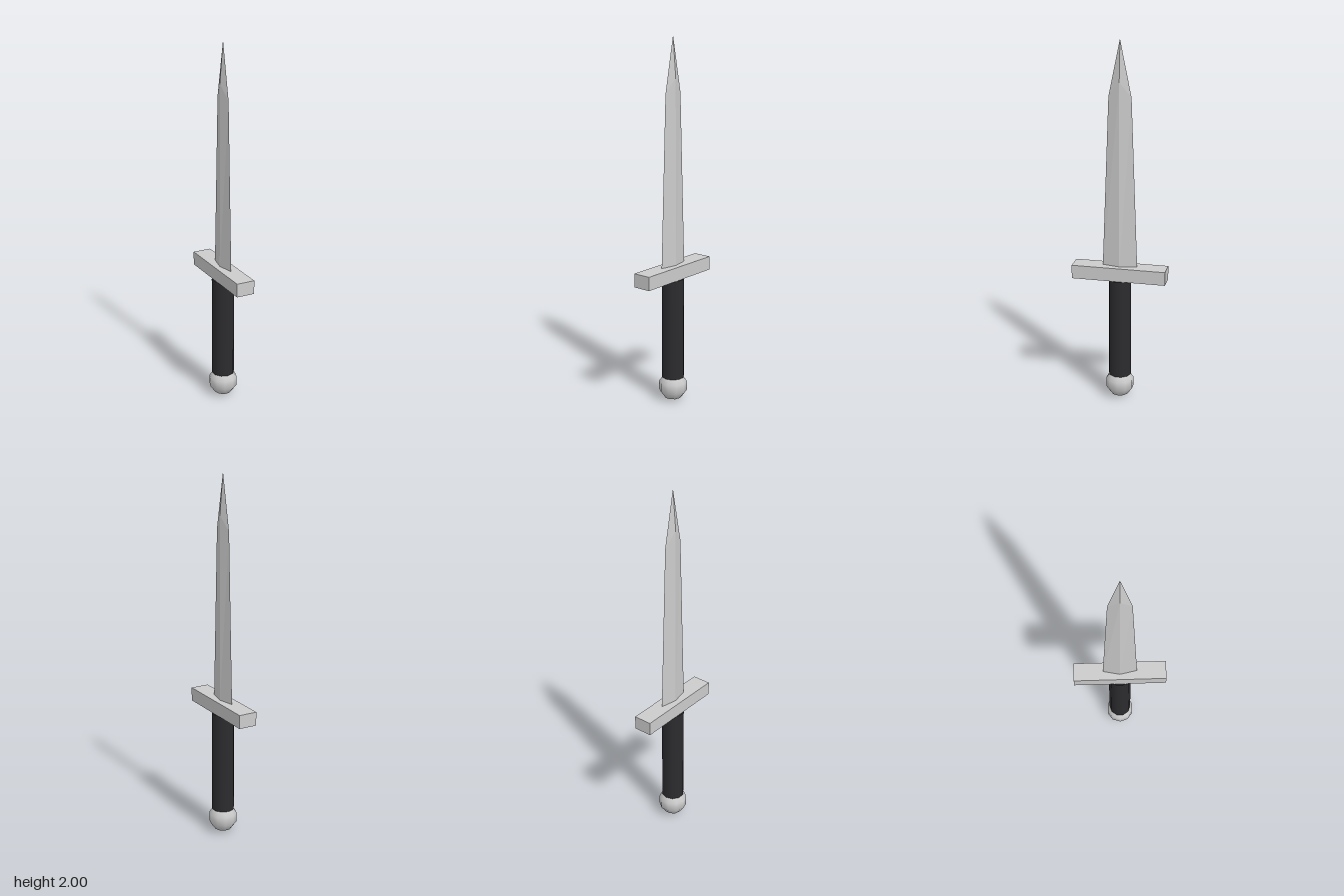
import * as THREE from 'three';

const steel = () => new THREE.MeshStandardMaterial({ color: 0xcccccc });

function add(group, name, geometry, material, y = 0) {
  const mesh = new THREE.Mesh(geometry, material);
  mesh.name = name;
  mesh.position.y = y;
  group.add(mesh);
}

// Diamond-section blade: two four-cornered rings closed by a point
function bladeGeometry() {
  const ring = (x, ridgeY, z, edgeY) => [
    [0, edgeY, z], [x, ridgeY, 0], [0, edgeY, -z], [-x, ridgeY, 0],
  ];
  const base = ring(0.02, 0.74, 0.096, 0.74);
  const shoulder = ring(0.018, 1.78, 0.061, 1.7);
  const tip = [0, 2, 0];
  const positions = [];
  for (let i = 0; i < 4; i++) {
    const j = (i + 1) % 4;
    positions.push(...base[i], ...base[j], ...shoulder[j]);
    positions.push(...base[i], ...shoulder[j], ...shoulder[i]);
    positions.push(...shoulder[i], ...shoulder[j], ...tip);
  }
  // Closing face hidden inside the guard
  positions.push(...base[0], ...base[2], ...base[1], ...base[0], ...base[3], ...base[2]);
  const geometry = new THREE.BufferGeometry();
  geometry.setAttribute('position', new THREE.Float32BufferAttribute(positions, 3));
  geometry.computeVertexNormals();
  return geometry;
}

export function createModel() {
  const dagger = new THREE.Group();
  dagger.name = 'dagger';

  const bladeMaterial = steel();
  bladeMaterial.flatShading = true;
  add(dagger, 'blade', bladeGeometry(), bladeMaterial);

  // Crossguard runs along z, in the plane of the blade
  add(dagger, 'crossguard', new THREE.BoxGeometry(0.102, 0.075, 0.513), steel(), 0.7375);

  const gripMaterial = new THREE.MeshStandardMaterial({ color: 0x2c2c2f });
  add(dagger, 'grip', new THREE.CylinderGeometry(0.062, 0.062, 0.565, 10), gripMaterial, 0.4175);

  add(dagger, 'pommel', new THREE.SphereGeometry(0.081, 10, 5), steel(), 0.081);

  return dagger;
}
